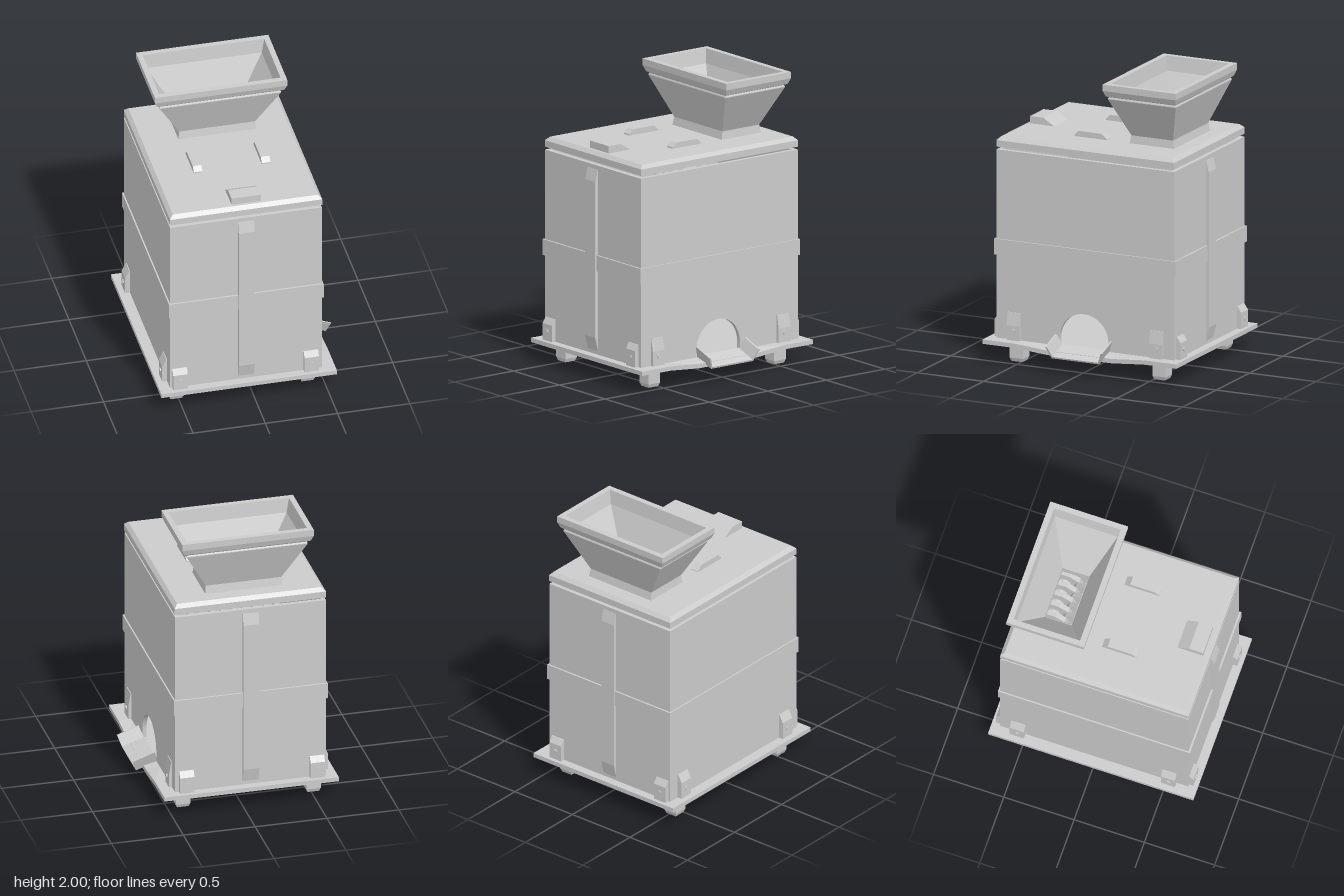
import * as THREE from 'three';

const mat = new THREE.MeshStandardMaterial({ color: 0xcccccc, flatShading: true, side: THREE.DoubleSide });

function add(parent, name, geometry, x = 0, y = 0, z = 0) {
  const mesh = new THREE.Mesh(geometry, mat);
  mesh.name = name;
  mesh.position.set(x, y, z);
  parent.add(mesh);
  return mesh;
}

// Box given by its limits
function slab(parent, name, x0, x1, y0, y1, z0, z1) {
  return add(parent, name, new THREE.BoxGeometry(x1 - x0, y1 - y0, z1 - z0),
    (x0 + x1) / 2, (y0 + y1) / 2, (z0 + z1) / 2);
}

// Skin over stacked rectangles [y, x0, x1, z0, z1]
function loft(sections, capped = false) {
  const pos = [], idx = [];
  for (const [y, x0, x1, z0, z1] of sections) pos.push(x0, y, z1, x1, y, z1, x1, y, z0, x0, y, z0);
  for (let i = 0; i < sections.length - 1; i++) {
    for (let k = 0; k < 4; k++) {
      const a = i * 4 + k, b = i * 4 + (k + 1) % 4;
      idx.push(a, b, b + 4, a, b + 4, a + 4);
    }
  }
  if (capped) {
    const t = (sections.length - 1) * 4;
    idx.push(0, 2, 1, 0, 3, 2, t, t + 1, t + 2, t, t + 2, t + 3);
  }
  const g = new THREE.BufferGeometry();
  g.setAttribute('position', new THREE.Float32BufferAttribute(pos, 3));
  g.setIndex(idx);
  const flat = g.toNonIndexed();
  flat.computeVertexNormals();
  return flat;
}

// Side profile [outward, up] given a width; outward is +x
function profile(points, width) {
  const shape = new THREE.Shape(points.map(([u, v]) => new THREE.Vector2(u, v)));
  return new THREE.ExtrudeGeometry(shape, { depth: width, bevelEnabled: false }).translate(0, 0, -width / 2);
}

const FRONT = -Math.PI / 2, BACK = Math.PI / 2, LEFT = 0, RIGHT = Math.PI;

export function createModel() {
  const model = new THREE.Group();
  const xs = [-0.515, 0.393], zs = [0.535, -0.54];

  // Base plate, its edge pressed down below the chute
  const plate = new THREE.BoxGeometry(1.215, 0.03, 1.46, 12, 1, 6);
  const p = plate.attributes.position;
  for (let i = 0; i < p.count; i++) {
    if (p.getX(i) > 0.6 && Math.abs(p.getZ(i)) < 0.3) p.setY(i, p.getY(i) - 0.02);
  }
  plate.computeVertexNormals();
  add(model, 'basePlate', plate, -0.047, 0.145, 0);

  // Feet with chamfered ends
  for (const x of xs) for (const z of zs) {
    add(model, 'foot', loft([
      [0, x - 0.04, x + 0.04, z - 0.04, z + 0.04],
      [0.025, x - 0.05, x + 0.05, z - 0.05, z + 0.05],
      [0.135, x - 0.05, x + 0.05, z - 0.05, z + 0.05]], true));
  }

  // Hollow body
  const body = new THREE.Group();
  body.name = 'body';
  model.add(body);
  slab(body, 'rightWall', -0.58, -0.55, 0.16, 1.47, -0.67, 0.67);
  slab(body, 'frontWall', -0.58, 0.47, 0.16, 1.47, 0.64, 0.67);
  slab(body, 'backWall', -0.58, 0.47, 0.16, 1.47, -0.67, -0.64);
  const wall = new THREE.Shape();
  wall.moveTo(-0.67, 0.16);
  wall.lineTo(-0.175, 0.16);
  wall.lineTo(-0.175, 0.215);
  wall.absarc(0.01, 0.215, 0.185, Math.PI, 0, true);
  wall.lineTo(0.195, 0.16);
  wall.lineTo(0.67, 0.16);
  wall.lineTo(0.67, 1.47);
  wall.lineTo(-0.67, 1.47);
  const wallGeo = new THREE.ExtrudeGeometry(wall, { depth: 0.03, bevelEnabled: false, curveSegments: 24 });
  add(body, 'leftWallWithOutlet', wallGeo.rotateY(-Math.PI / 2), 0.47);

  // Band round the body
  add(model, 'band', loft([
    [0.74, -0.58, 0.47, -0.67, 0.67], [0.74, -0.59, 0.48, -0.683, 0.683],
    [0.85, -0.59, 0.48, -0.683, 0.683], [0.85, -0.58, 0.47, -0.67, 0.67]]));

  // Upright straps on the front and back
  const strap = profile([[0, 0.18], [0.024, 0.28], [0.024, 1.36], [0.004, 1.44], [0, 1.44]], 0.11);
  add(model, 'frontStrap', strap, -0.055, 0, 0.669).rotation.y = FRONT;
  add(model, 'backStrap', strap, -0.055, 0, -0.669).rotation.y = BACK;

  // Bolted brackets on all four sides
  const bracket = (x, z, turn, depth, shoulder, height) => {
    const g = new THREE.Group();
    g.name = 'bracket';
    add(g, 'bracketPlate', profile([[0, 0], [depth, 0], [depth, shoulder], [0.006, height], [0, height]], 0.1));
    add(g, 'bolt', new THREE.CylinderGeometry(0.015, 0.015, 0.016, 12).rotateZ(Math.PI / 2), depth, 0.065, 0);
    g.position.set(x, 0.16, z);
    g.rotation.y = turn;
    model.add(g);
  };
  for (const x of xs) {
    bracket(x, 0.669, FRONT, 0.031, 0.115, 0.155);
    bracket(x, -0.669, BACK, 0.034, 0.115, 0.155);
  }
  for (const z of zs) {
    bracket(0.469, z, LEFT, 0.022, 0.1, 0.19);
    bracket(-0.579, z, RIGHT, 0.035, 0.12, 0.175);
  }

  // Sloping outlet chute with flared sides
  const trough = [[-0.215, 0.088], [-0.18, 0], [0.18, 0], [0.215, 0.088], [0.203, 0.088], [0.172, 0.012],
    [-0.172, 0.012], [-0.203, 0.088]].map(([a, b]) => new THREE.Vector2(a, b));
  const chuteGeo = new THREE.ExtrudeGeometry(new THREE.Shape(trough), { depth: 0.16, bevelEnabled: false });
  chuteGeo.rotateY(Math.PI / 2).rotateZ(-0.34);
  add(model, 'outletChute', chuteGeo, 0.462, 0.16, 0.003);

  // Lid with a feed opening and bevelled rim
  const hole = [-0.225, 0.145, -0.475, -0.285];
  add(model, 'lid', loft([
    [1.49, ...hole], [1.49, -0.58, 0.473, -0.67, 0.67], [1.535, -0.58, 0.473, -0.67, 0.67],
    [1.56, -0.555, 0.45, -0.645, 0.645], [1.56, ...hole], [1.49, ...hole]]));

  // Handles and latch on the lid
  const handle = profile([[-0.04, 0], [-0.04, 0.005], [0, 0.04], [0.175, 0.04], [0.207, 0.01], [0.207, 0]], 0.06);
  for (const x of [-0.275, 0.195]) add(model, 'handle', handle, x, 1.559, 0).rotation.y = FRONT;
  const latch = profile([[0.44, 0], [0.525, 0.051], [0.625, 0.051], [0.625, 0]], 0.205);
  add(model, 'latch', latch, -0.042, 1.559, 0).rotation.y = FRONT;

  // Feed hopper, outside up and inside down; half sizes about its own centre
  const cx = -0.042, cz = -0.378;
  const hopper = [
    [1.558, 0.27, 0.168], [1.615, 0.263, 0.157], [1.89, 0.42, 0.255], [1.895, 0.42, 0.255],
    [1.905, 0.415, 0.25], [1.915, 0.44, 0.262], [1.955, 0.458, 0.276], [2, 0.458, 0.276],
    [2, 0.42, 0.236], [1.9, 0.4, 0.223], [1.56, 0.185, 0.095]];
  add(model, 'hopper', loft(hopper.map(([y, w, d]) => [y, cx - w, cx + w, cz - d, cz + d])));

  // Cutting rollers under the feed opening
  for (const z of [-0.48, -0.28]) {
    add(model, 'rollerShaft', new THREE.CylinderGeometry(0.05, 0.05, 1.04, 12).rotateZ(Math.PI / 2), -0.055, 1.15, z);
    for (let i = 0; i < 9; i++) {
      const disc = new THREE.CylinderGeometry(0.13, 0.13, 0.035, 10).rotateZ(Math.PI / 2);
      add(model, 'cutterDisc', disc, -0.35 + i * 0.075 + (z < -0.4 ? 0.037 : 0), 1.15, z);
    }
  }
  return model;
}
